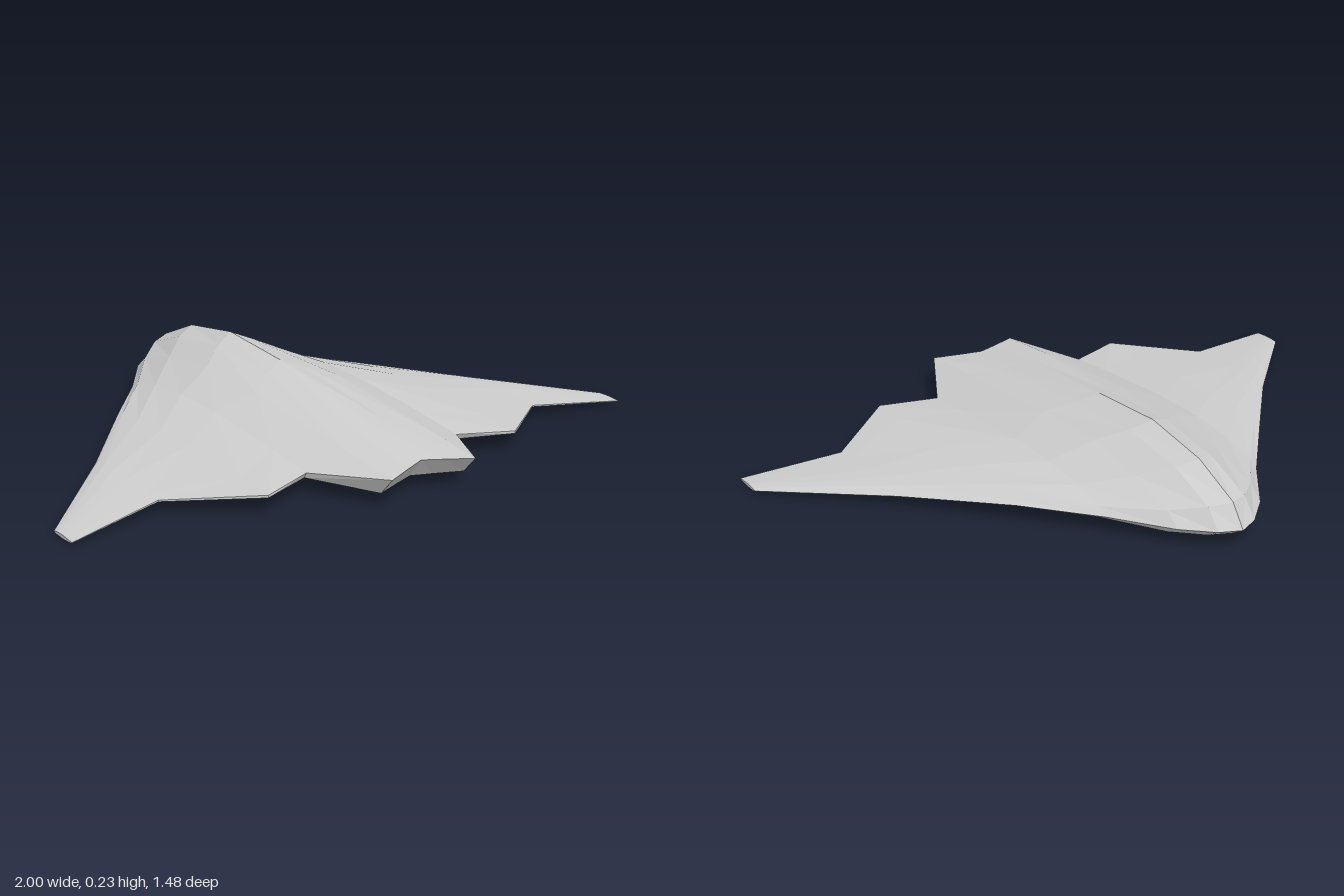
import * as THREE from 'three';

// Chord fractions (0 = leading edge, 1 = trailing edge) running from the
// trailing edge over the top to the leading edge and back underneath.
const CHORD = [1, 0.83, 0.507, 0.31, 0.148, 0.035, 0, 0.035, 0.148, 0.31, 0.507, 0.83, 1];

// Spanwise stations: x, leading z, trailing z, undercut of the trailing face, heights along CHORD
const STATIONS = [
  { x: 0, le: -0.74, te: 0.68, cut: 0.05,
    y: [0.104, 0.142, 0.215, 0.235, 0.2, 0.13, 0.06, 0.03, 0.013, 0.004, 0.004, 0.02, 0.04] },
  { x: 0.065, le: -0.71, te: 0.705, cut: 0.05,
    y: [0.1, 0.133, 0.192, 0.208, 0.18, 0.12, 0.06, 0.03, 0.013, 0.003, 0.003, 0.02, 0.04] },
  { x: 0.15, le: -0.63, te: 0.74, cut: 0.05,
    y: [0.095, 0.12, 0.163, 0.171, 0.145, 0.1, 0.06, 0.032, 0.015, 0.002, 0.004, 0.02, 0.04] },
  { x: 0.275, le: -0.455, te: 0.505, cut: 0.01,
    y: [0.07, 0.088, 0.114, 0.117, 0.104, 0.08, 0.06, 0.045, 0.03, 0.021, 0.022, 0.035, 0.052] },
  { x: 0.45, le: -0.25, te: 0.57, cut: 0,
    y: [0.064, 0.072, 0.085, 0.086, 0.079, 0.068, 0.06, 0.053, 0.046, 0.041, 0.04, 0.046, 0.056] },
  { x: 0.69, le: 0.03, te: 0.38, cut: 0,
    y: [0.042, 0.046, 0.053, 0.055, 0.053, 0.046, 0.04, 0.034, 0.029, 0.026, 0.026, 0.03, 0.037] },
  { x: 1, le: 0.345, te: 0.445, cut: 0,
    y: [0.014, 0.016, 0.018, 0.018, 0.017, 0.015, 0.013, 0.011, 0.009, 0.008, 0.007, 0.009, 0.012] },
];

// Skin a run of stations ordered from -x to +x, optionally closing its ends
function loft(stations, capStart, capEnd) {
  const n = CHORD.length;
  const positions = [];
  const index = [];
  for (const s of stations) {
    CHORD.forEach((f, j) => {
      const te = j > 6 ? s.te - s.cut : s.te;
      positions.push(s.x, s.y[j], s.le + (te - s.le) * f);
    });
  }
  for (let i = 0; i < stations.length - 1; i++) {
    const mirrored = stations[i].x < 0;
    for (let j = 0; j < n; j++) {
      const k = (j + 1) % n;
      const a = i * n + j, b = i * n + k, c = a + n, d = b + n;
      // Flip the diagonals across the centreline to keep both halves alike
      if (mirrored) index.push(a, c, d, a, d, b);
      else index.push(a, c, b, c, d, b);
    }
  }
  const last = (stations.length - 1) * n;
  for (let j = 1; j < n - 1; j++) {
    if (capStart) index.push(0, j, j + 1);
    if (capEnd) index.push(last, last + j + 1, last + j);
  }
  const geometry = new THREE.BufferGeometry();
  geometry.setAttribute('position', new THREE.Float32BufferAttribute(positions, 3));
  geometry.setIndex(index);
  geometry.computeVertexNormals();
  return geometry;
}

const mirror = (stations) => stations.map((s) => ({ ...s, x: -s.x })).reverse();

export function createModel() {
  const group = new THREE.Group();
  group.name = 'flyingWing';
  const skin = new THREE.MeshStandardMaterial({ color: 0xcccccc, flatShading: true });
  skin.name = 'light grey skin';

  const add = (name, geometry) => {
    const mesh = new THREE.Mesh(geometry, skin);
    mesh.name = name;
    group.add(mesh);
  };

  // Ridged centre body with the undercut notched tail
  const inner = STATIONS.slice(0, 4);
  add('centreBody', loft([...mirror(inner.slice(1)), ...inner], false, false));

  // Swept wings with blunt tips, sharing the body's outer section
  const outer = STATIONS.slice(3);
  add('leftWing', loft(outer, false, true));
  add('rightWing', loft(mirror(outer), true, false));

  return group;
}
